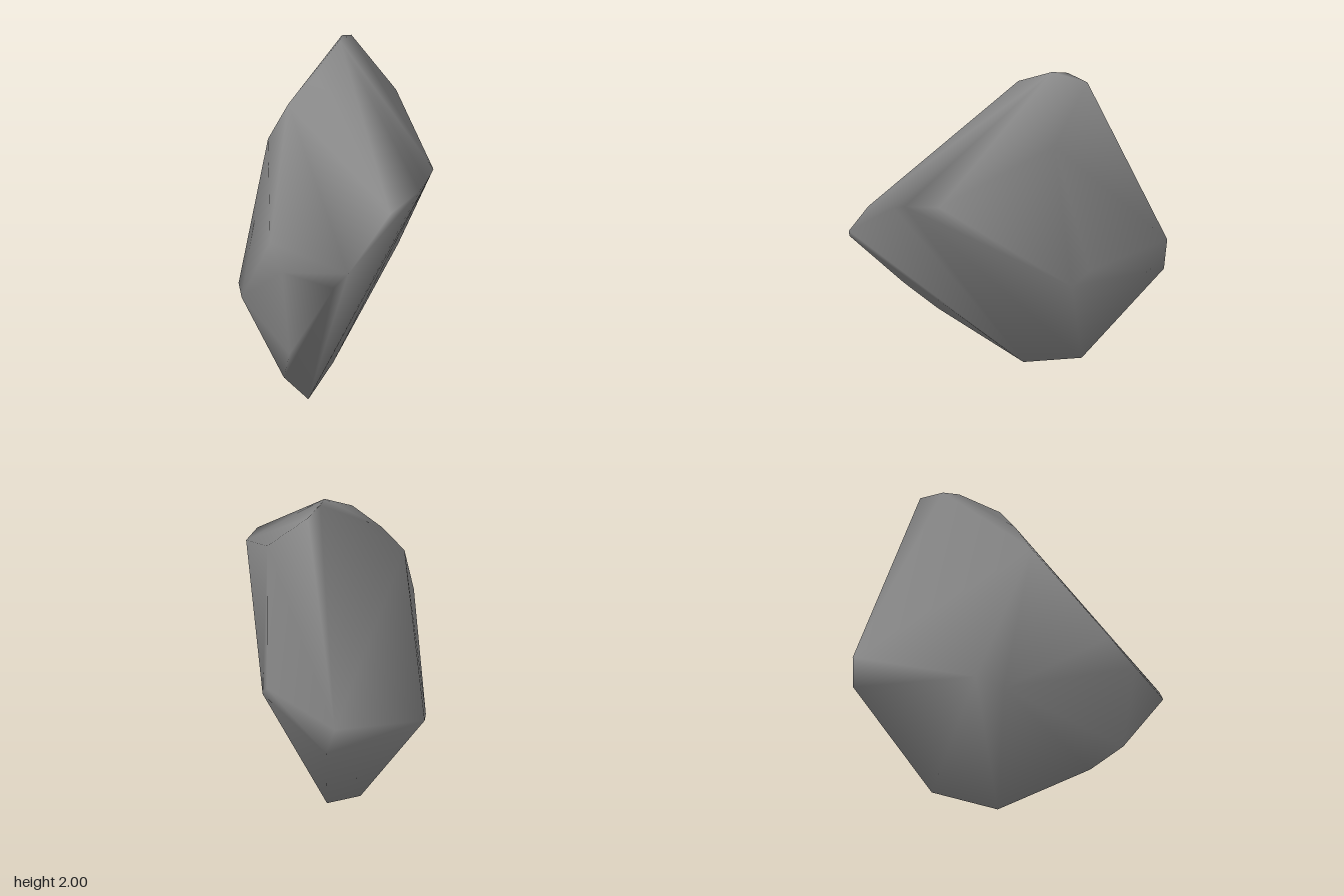
import * as THREE from 'three';
import { ConvexGeometry } from 'three/addons/geometries/ConvexGeometry.js';
import { mergeVertices } from 'three/addons/utils/BufferGeometryUtils.js';

export function createModel() {
  const group = new THREE.Group();
  group.name = 'rock';

  const stone = new THREE.MeshStandardMaterial({ color: 0x888888 });
  stone.name = 'grey stone';

  // Corners of the boulder, grouped from the peak down to the foot
  const corners = [
    // peak
    [0.02, 2.0, -0.35], [0.07, 1.98, -0.47], [0.01, 1.99, -0.26],
    // upper shoulders
    [-0.11, 1.84, -0.05], [0.32, 1.7, -0.33], [-0.27, 1.68, 0.01], [-0.38, 1.5, 0.09],
    // jutting edge on the +x side
    [0.54, 1.37, 0.28], [0.51, 1.34, 0.48], [0.47, 1.3, 0.55], [0.31, 1.2, 0.72],
    // front belly
    [-0.36, 1.0, 0.53], [-0.29, 0.86, 0.68], [0.08, 0.89, 0.87], [0, 0.81, 0.88],
    // back belly
    [0.29, 0.9, -0.52], [0.33, 0.81, -0.43], [-0.15, 0.88, -0.88], [-0.1, 0.72, -0.87],
    // bulge on the -x side
    [-0.55, 0.62, -0.25], [-0.53, 0.57, -0.09],
    // underside and foot
    [-0.25, 0.39, 0.62], [-0.285, 0.22, 0.43], [-0.03, 0.14, -0.42], [-0.16, 0, -0.07],
  ].map((p) => new THREE.Vector3(...p));

  // Shared corners give the hull its smooth, worn shading
  let hull = new ConvexGeometry(corners);
  hull.deleteAttribute('normal');
  hull = mergeVertices(hull, 1e-4);
  hull.computeVertexNormals();

  const boulder = new THREE.Mesh(hull, stone);
  boulder.name = 'boulder';
  group.add(boulder);
  return group;
}
